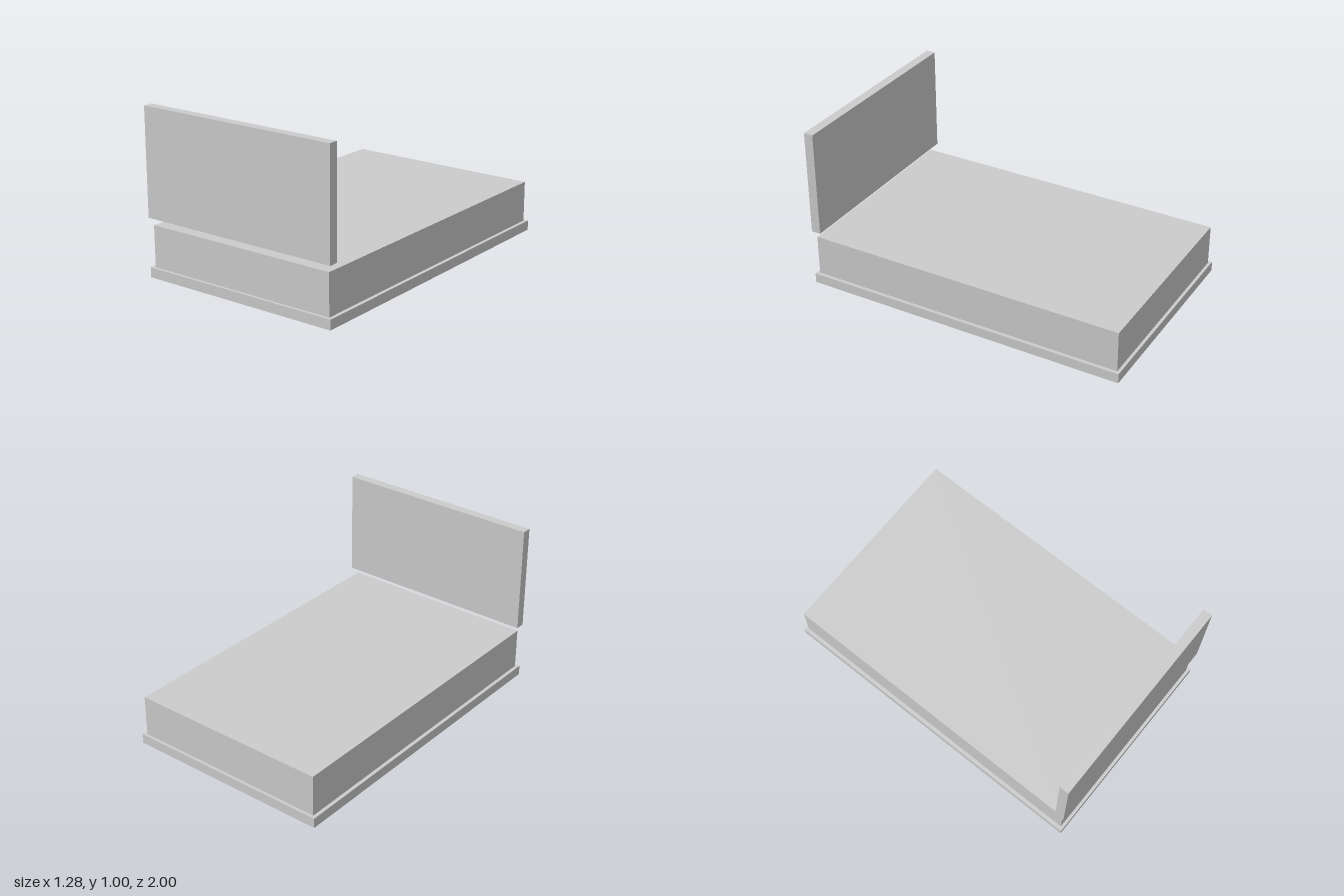
import * as THREE from 'three';

export function createModel() {
  const group = new THREE.Group();
  group.name = 'bed';
  const grey = new THREE.MeshStandardMaterial({ color: 0xcccccc });
  grey.name = 'light grey';

  // Box standing on height y, centred on x = 0
  function addBox(name, width, height, depth, y, z = 0) {
    const mesh = new THREE.Mesh(new THREE.BoxGeometry(width, height, depth), grey);
    mesh.name = name;
    mesh.position.set(0, y + height / 2, z);
    group.add(mesh);
  }

  // Low platform and the slightly inset mattress on it
  addBox('bedBase', 1.28, 0.06, 2, 0);
  addBox('mattress', 1.237, 0.25, 1.963, 0.06);

  // Headboard panel floating above the front edge
  addBox('headboard', 1.28, 0.646, 0.058, 0.354, 0.971);

  return group;
}
